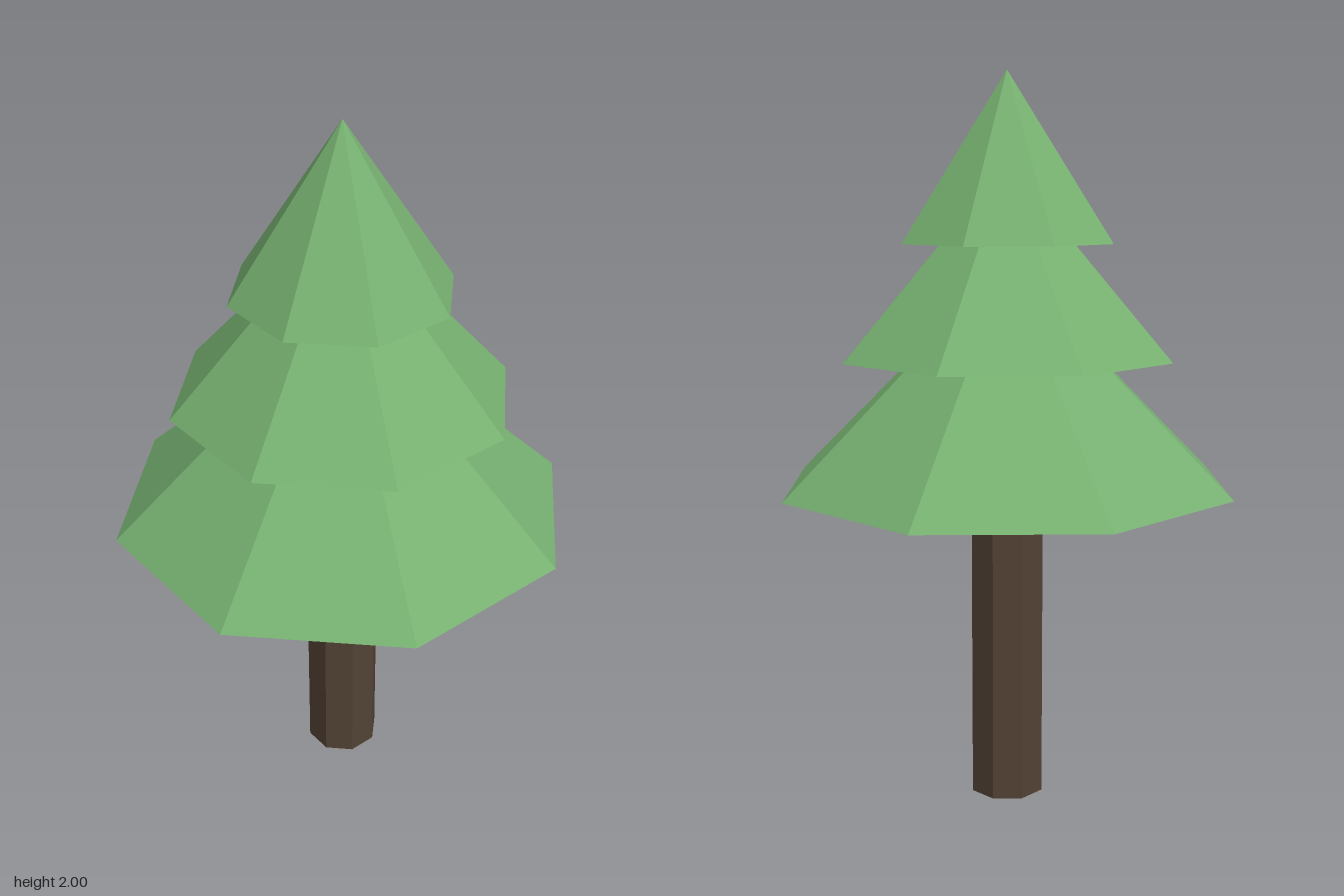
import * as THREE from 'three';

export function createModel() {
  const tree = new THREE.Group();
  tree.name = 'pineTree';

  const leafGreen = new THREE.MeshStandardMaterial({ color: 0x76b070 });
  leafGreen.name = 'leafGreen';
  const barkBrown = new THREE.MeshStandardMaterial({ color: 0x524234 });
  barkBrown.name = 'barkBrown';

  const SIDES = 8;

  // Non-indexed geometry with face normals gives crisp low-poly facets
  function addPart(name, geometry, material, baseY, height) {
    const faceted = geometry.toNonIndexed();
    faceted.computeVertexNormals();
    const mesh = new THREE.Mesh(faceted, material);
    mesh.name = name;
    mesh.position.y = baseY + height / 2;
    tree.add(mesh);
  }

  // Trunk, ending just below the foliage
  addPart('trunk', new THREE.CylinderGeometry(0.106, 0.106, 0.83, SIDES), barkBrown, 0, 0.83);

  // Three overlapping foliage cones, closed underneath
  const tiers = [
    { name: 'lowerFoliage', radius: 0.637, baseY: 0.889, height: 0.61 },
    { name: 'middleFoliage', radius: 0.466, baseY: 1.243, height: 0.52 },
    { name: 'upperFoliage', radius: 0.3, baseY: 1.549, height: 0.451 },
  ];
  for (const { name, radius, baseY, height } of tiers) {
    addPart(name, new THREE.ConeGeometry(radius, height, SIDES), leafGreen, baseY, height);
  }

  return tree;
}
